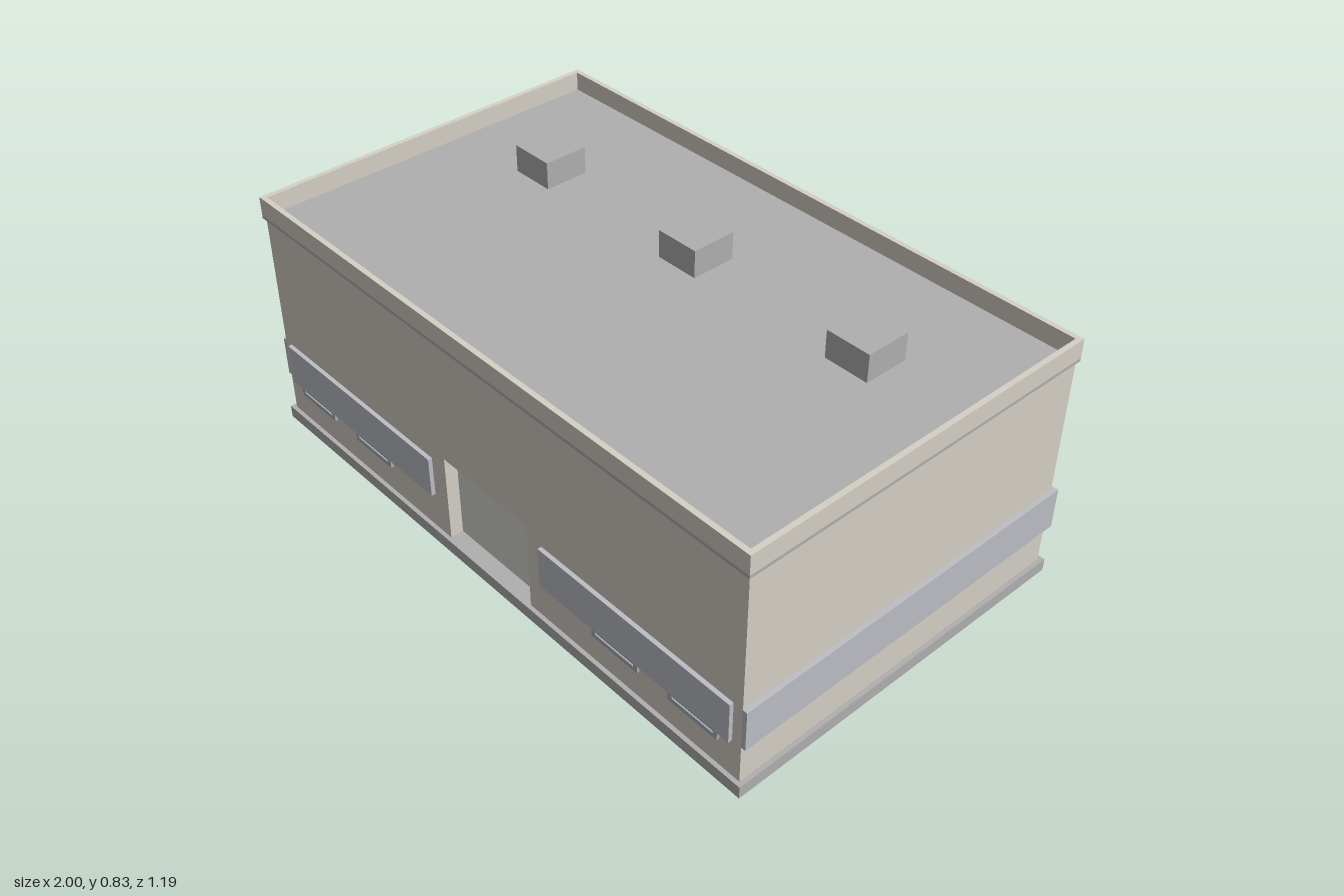
import * as THREE from 'three';

const mat = (color) => new THREE.MeshStandardMaterial({ color });

export function createModel() {
  const root = new THREE.Group();
  root.name = 'building';

  const wallMat = mat(0xd5d1c6);
  const greyMat = mat(0xb0b0b0);
  const bandMat = mat(0xbcbfc5);
  const doorMat = mat(0xd6d5d0);
  const frameMat = mat(0xa9adb0);
  const glassMat = mat(0x5f8fb8);

  // Box given by its minimum and maximum on each axis
  function box(name, material, [x0, x1], [y0, y1], [z0, z1], parent = root) {
    const mesh = new THREE.Mesh(new THREE.BoxGeometry(x1 - x0, y1 - y0, z1 - z0), material);
    mesh.position.set((x0 + x1) / 2, (y0 + y1) / 2, (z0 + z1) / 2);
    mesh.name = name;
    parent.add(mesh);
    return mesh;
  }

  const WX = 0.986, WZ = 0.584; // wall faces
  const RX = 0.993, RZ = 0.592; // roof edge
  const BX = 1.0, BZ = 0.597; // plinth and bands
  const base = 0.04, slab = 0.73, roof = 0.74, top = 0.8;
  const recess = 0.54;

  // Plinth and main body
  box('plinth', greyMat, [-BX, BX], [0, base], [-BZ, BZ]);
  box('walls', wallMat, [-WX, WX], [base, slab], [-WZ, recess]);

  // Front wall with the entrance cut out
  const front = new THREE.Shape();
  front.moveTo(-WX, base);
  front.lineTo(-0.18, base);
  front.lineTo(-0.18, 0.33);
  front.lineTo(0.18, 0.33);
  front.lineTo(0.18, base);
  front.lineTo(WX, base);
  front.lineTo(WX, slab);
  front.lineTo(-WX, slab);
  const frontWall = new THREE.Mesh(
    new THREE.ExtrudeGeometry(front, { depth: WZ - recess, bevelEnabled: false }), wallMat);
  frontWall.position.z = recess;
  frontWall.name = 'frontWall';
  root.add(frontWall);
  box('door', doorMat, [-0.18, 0.18], [base, 0.33], [recess - 0.01, recess + 0.003]);

  // Roof slab and parapet
  box('roofSlab', greyMat, [-RX, RX], [slab, roof], [-RZ, RZ]);
  const t = 0.016;
  const rim = new THREE.Shape();
  rim.moveTo(-RX, -RZ);
  rim.lineTo(RX, -RZ);
  rim.lineTo(RX, RZ);
  rim.lineTo(-RX, RZ);
  const inner = new THREE.Path();
  inner.moveTo(-RX + t, -RZ + t);
  inner.lineTo(-RX + t, RZ - t);
  inner.lineTo(RX - t, RZ - t);
  inner.lineTo(RX - t, -RZ + t);
  rim.holes.push(inner);
  const parapet = new THREE.Mesh(
    new THREE.ExtrudeGeometry(rim, { depth: top - roof, bevelEnabled: false }), wallMat);
  parapet.rotation.x = -Math.PI / 2;
  parapet.position.y = roof;
  parapet.name = 'parapet';
  root.add(parapet);

  // Roof vents
  for (const x of [-0.628, 0, 0.628]) {
    box('roofVent', greyMat, [x - 0.072, x + 0.072], [roof, 0.827], [-0.253, -0.109]);
  }

  // Cladding bands: back, both sides, and a panel each side of the door
  const bandY = [0.165, 0.297];
  box('backBand', bandMat, [-BX, BX], bandY, [-BZ, -WZ]);
  for (const s of [-1, 1]) {
    const span = (a, b) => (s > 0 ? [a, b] : [-b, -a]);
    box('sideBand', bandMat, span(WX, BX), bandY, [-WZ, WZ]);
    box('frontBand', bandMat, span(0.24, 0.955), bandY, [WZ, BZ]);
  }

  // Windows: frame with an opening and a set-back pane
  const w = 0.175, h = 0.162, f = 0.014;
  const frameShape = new THREE.Shape();
  frameShape.moveTo(-w / 2, -h / 2);
  frameShape.lineTo(w / 2, -h / 2);
  frameShape.lineTo(w / 2, h / 2);
  frameShape.lineTo(-w / 2, h / 2);
  const hole = new THREE.Path();
  hole.moveTo(-w / 2 + f, -h / 2 + f);
  hole.lineTo(-w / 2 + f, h / 2 - f);
  hole.lineTo(w / 2 - f, h / 2 - f);
  hole.lineTo(w / 2 - f, -h / 2 + f);
  frameShape.holes.push(hole);
  const frameGeo = new THREE.ExtrudeGeometry(frameShape, { depth: 0.009, bevelEnabled: false });

  function addWindow(x, y, facesBack) {
    const g = new THREE.Group();
    g.name = 'window';
    const frame = new THREE.Mesh(frameGeo, frameMat);
    frame.name = 'windowFrame';
    g.add(frame);
    box('windowPane', glassMat, [-w / 2 + f, w / 2 - f], [-h / 2 + f, h / 2 - f], [-0.002, 0.004], g);
    g.position.set(x, y, facesBack ? -WZ : WZ);
    if (facesBack) g.rotation.y = Math.PI;
    root.add(g);
  }
  for (let i = 0; i < 5; i++) addWindow(-0.822 + i * 0.29, 0.56, true);
  for (const x of [-0.825, -0.535, 0.535, 0.825]) addWindow(x, 0.215, false);

  return root;
}
